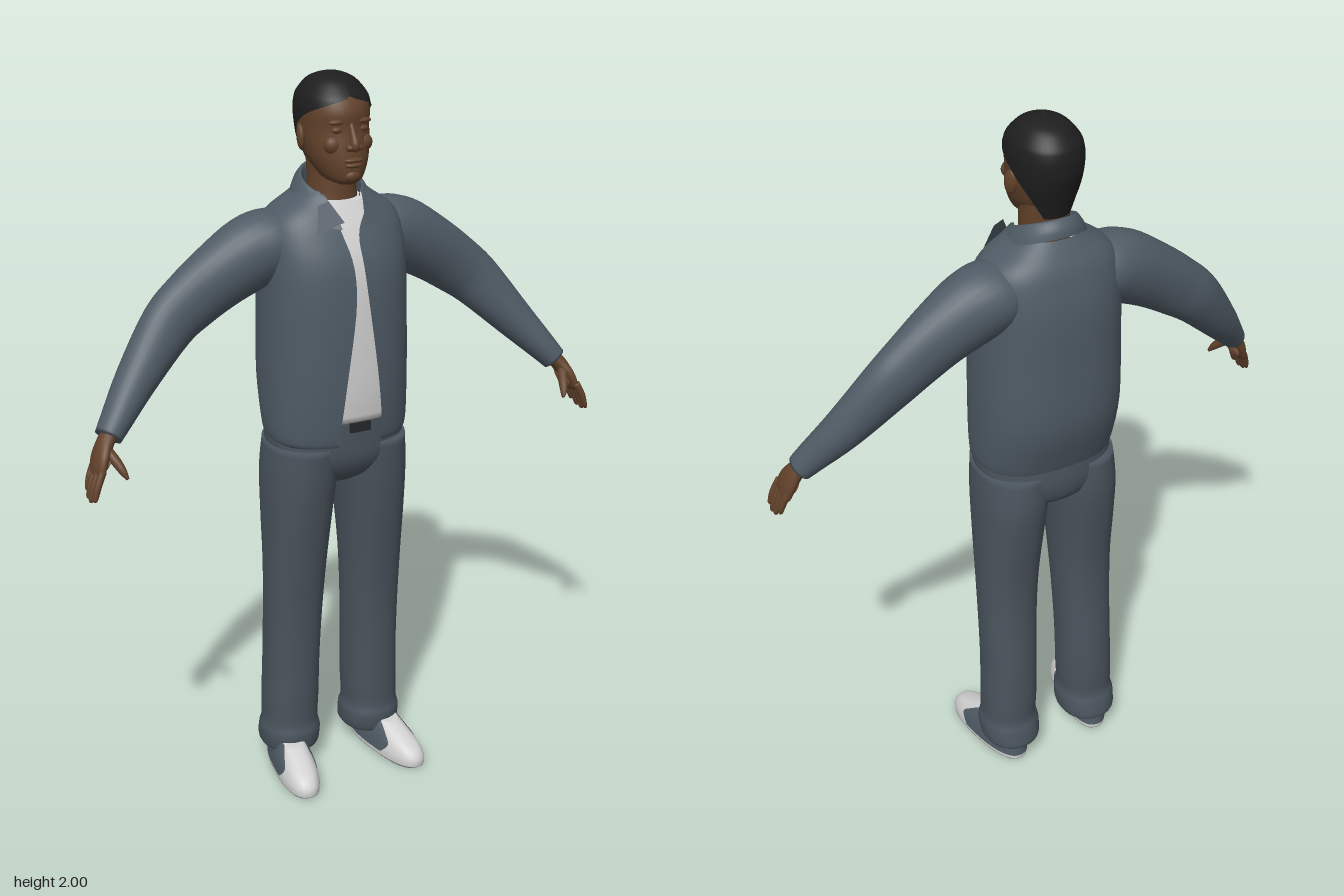
import * as THREE from 'three';

const mat = (name, color, side = THREE.FrontSide) => {
  const m = new THREE.MeshStandardMaterial({ color, side });
  m.name = name;
  return m;
};

// Smooth interpolation through rows of numbers
function spline(rows, sub) {
  const out = [];
  for (let i = 0; i < rows.length - 1; i++) {
    const p0 = rows[Math.max(i - 1, 0)], p1 = rows[i], p2 = rows[i + 1], p3 = rows[Math.min(i + 2, rows.length - 1)];
    for (let k = 0; k < sub; k++) {
      const t = k / sub;
      out.push(p1.map((v, c) => {
        const cubic = 3 * (v - p2[c]) + p3[c] - p0[c];
        const square = 2 * p0[c] - 5 * v + 4 * p2[c] - p3[c];
        return v + 0.5 * t * (p2[c] - p0[c] + t * (square + t * cubic));
      }));
    }
  }
  out.push(rows[rows.length - 1]);
  return out;
}

// Skin over oval sections [x, y, z, a, b, gapLeft, gapRight]; gaps (degrees) leave the front open
function sweep(name, material, rows, { power = 2, seg = 28, sub = 4, axis = null, shear = 0 } = {}) {
  const open = rows[0].length > 5, path = spline(rows, sub);
  const cols = open ? seg + 1 : seg, pos = [], idx = [];
  const at = (i) => new THREE.Vector3(...path[Math.min(Math.max(i, 0), path.length - 1)].slice(0, 3));
  const bend = (v) => Math.sign(v) * Math.pow(Math.abs(v), 2 / power);
  path.forEach(([, , , a, b, g1 = 0, g2 = 0], i) => {
    const t = axis || at(i + 1).sub(at(i - 1)).normalize();
    const u = new THREE.Vector3(0, 0, 1).cross(t).normalize(), v = t.clone().cross(u), c = at(i);
    for (let j = 0; j < cols; j++) {
      const from = 90 + Math.max(g1, 0), to = 450 - Math.max(g2, 0);
      const th = THREE.MathUtils.degToRad(from + (to - from) * j / seg);
      const p = c.clone().addScaledVector(u, a * bend(Math.cos(th))).addScaledVector(v, b * bend(Math.sin(th)));
      pos.push(p.x, p.y - shear * p.z, p.z);
    }
  });
  for (let i = 0; i < path.length - 1; i++) {
    for (let j = 0; j < seg; j++) {
      const k = (j + 1) % cols, A = i * cols + j, B = i * cols + k;
      idx.push(A, B, A + cols, B, B + cols, A + cols);
    }
  }
  if (!open) {
    const n = pos.length / 3, last = (path.length - 1) * cols;
    pos.push(...at(0).toArray(), ...at(path.length).toArray());
    for (let j = 0; j < seg; j++) {
      const k = (j + 1) % seg;
      idx.push(n, k, j, n + 1, last + j, last + k);
    }
  }
  const g = new THREE.BufferGeometry();
  g.setAttribute('position', new THREE.Float32BufferAttribute(pos, 3));
  g.setIndex(idx);
  g.computeVertexNormals();
  const mesh = new THREE.Mesh(g, material);
  mesh.name = name;
  return mesh;
}

// Upright version: rows [centreX, y, halfWidth, zFront, zBack, ...gaps], bottom to top
const UP = new THREE.Vector3(0, 1, 0);
const upright = (name, material, rows, opts = {}) => sweep(name, material,
  rows.map(([x, y, rx, f, b, ...gaps]) => [x, y, (f + b) / 2, rx, (f - b) / 2, ...gaps]), { axis: UP, ...opts });

function blob(name, material, p, s) {
  const m = new THREE.Mesh(new THREE.SphereGeometry(1, 16, 12), material);
  m.name = name;
  m.position.set(...p);
  m.scale.set(...s);
  return m;
}

export function createModel() {
  const root = new THREE.Group();
  root.name = 'standingMan';
  const cloth = mat('slate jacket', 0x4f5b65, THREE.DoubleSide);
  const denim = mat('slate trousers', 0x4a545d);
  const skin = mat('brown skin', 0x62422b);
  const palmSkin = mat('light palm skin', 0x94664c);
  const hair = mat('black hair', 0x1e1e1f, THREE.DoubleSide);
  const white = mat('white', 0xd2d2d2);
  const soleGrey = mat('sole grey', 0x777a7d);
  const dark = mat('dark metal', 0x24272a);
  const add = (...m) => root.add(...m);

  // Open jacket over a shirt
  const torso = [
    [0, 1.03, 0.187, 0.135, -0.135, 19, 13], [0, 1.06, 0.199, 0.142, -0.147, 18, 12],
    [0, 1.2, 0.203, 0.152, -0.187, 13, 8], [0, 1.4, 0.2, 0.15, -0.187, 6, 2],
    [0, 1.52, 0.198, 0.138, -0.182, 3, 2], [0, 1.6, 0.193, 0.108, -0.166, 3, 6],
    [0, 1.645, 0.17, 0.085, -0.15, 11, 11], [0, 1.68, 0.12, 0.066, -0.128, 28, 28],
    [0, 1.705, 0.085, 0.055, -0.11, 42, 42]];
  add(upright('jacketBody', cloth, torso, { power: 2.4, seg: 48 }));
  const shirtRows = torso.slice(2, 8).map(([x, y, rx, f, b]) => [x, y, rx - 0.012, f - 0.009, b + 0.012]);
  add(upright('shirt', white, [[0, 1.095, 0.185, 0.135, -0.14], ...shirtRows], { power: 2.4, seg: 40 }));

  // Folded collar with two pointed flaps
  add(upright('collar', cloth, [
    [0, 1.665, 0.112, 0.118, -0.128, 17, 17], [0, 1.69, 0.099, 0.098, -0.122, 24, 24],
    [0, 1.715, 0.083, 0.072, -0.104, 38, 38], [0, 1.71, 0.076, 0.06, -0.096, 46, 46],
    [0, 1.67, 0.076, 0.055, -0.09, 46, 46]], { shear: 0.42, seg: 36 }));
  for (const s of [1, -1]) {
    const g = new THREE.BufferGeometry();
    const corners = [0.03, 1.638, 0.117, 0.104, 1.612, 0.109, 0.088, 1.68, 0.083, 0.06, 1.69, 0.086];
    const placed = corners.map((v, i) => (i % 3 === 0 ? v * s : v));
    g.setAttribute('position', new THREE.Float32BufferAttribute(placed, 3));
    g.setIndex(s > 0 ? [0, 1, 2, 0, 2, 3] : [0, 2, 1, 0, 3, 2]);
    g.computeVertexNormals();
    const flap = new THREE.Mesh(g, cloth);
    flap.name = 'collarFlap';
    add(flap);
  }

  // Trouser seat and belt buckle
  add(upright('trouserSeat', denim, [
    [0, 0.9, 0.06, 0.06, -0.09], [0, 0.93, 0.13, 0.1, -0.128], [0, 0.98, 0.185, 0.126, -0.142],
    [0, 1.04, 0.195, 0.13, -0.14], [0, 1.1, 0.184, 0.13, -0.135]], { power: 2.3, seg: 36 }));
  const buckle = new THREE.Mesh(new THREE.BoxGeometry(0.06, 0.026, 0.012), dark);
  buckle.name = 'beltBuckle';
  buckle.position.set(0.01, 1.08, 0.132);
  add(buckle);

  for (const s of [1, -1]) {
    const flip = (rows) => rows.map(([x, ...r]) => [x * s, ...r]);

    // Trouser leg with a bunched hem
    add(upright('trouserLeg', denim, flip([
      [0.13, 0.058, 0.068, 0.036, -0.125], [0.13, 0.07, 0.083, 0.05, -0.136], [0.13, 0.115, 0.086, 0.056, -0.128],
      [0.13, 0.15, 0.079, 0.049, -0.118], [0.128, 0.22, 0.08, 0.051, -0.12], [0.125, 0.35, 0.079, 0.055, -0.117],
      [0.122, 0.5, 0.082, 0.062, -0.108], [0.118, 0.65, 0.086, 0.079, -0.11], [0.113, 0.8, 0.092, 0.102, -0.13],
      [0.107, 0.92, 0.097, 0.118, -0.144], [0.1, 1.02, 0.096, 0.126, -0.138]]), { power: 2.2 }));

    // Shoe: white upper, slate heel quarter, grey sole
    const shoe = new THREE.Group();
    shoe.name = 'shoe';
    shoe.position.set(0.148 * s, 0, 0);
    shoe.rotation.y = 0.15 * s;
    shoe.add(
      upright('sole', soleGrey, [[0, 0, 0.05, 0.19, -0.112], [0, 0.008, 0.055, 0.198, -0.118]], { power: 2.5, sub: 1 }),
      upright('shoeUpper', white, [
        [0, 0.006, 0.056, 0.199, -0.119], [0, 0.028, 0.056, 0.198, -0.119], [0, 0.052, 0.051, 0.178, -0.117],
        [0, 0.075, 0.045, 0.13, -0.113], [0, 0.1, 0.038, 0.07, -0.108]], { power: 2.4 }),
      upright('heelQuarter', cloth, [
        [0, 0.02, 0.058, 0.2, -0.121, 78, 78], [0, 0.052, 0.053, 0.18, -0.119, 62, 62],
        [0, 0.075, 0.047, 0.132, -0.115, 55, 55], [0, 0.1, 0.04, 0.072, -0.11, 45, 45]], { power: 2.4 }));
    add(shoe);

    // Sleeve
    add(sweep('sleeve', cloth, flip([
      [0.08, 1.585, -0.045, 0.05, 0.07], [0.15, 1.57, -0.045, 0.087, 0.098], [0.22, 1.545, -0.045, 0.098, 0.092],
      [0.31, 1.495, -0.045, 0.09, 0.076], [0.39, 1.44, -0.045, 0.083, 0.063], [0.46, 1.383, -0.038, 0.075, 0.058],
      [0.565, 1.268, 0.002, 0.056, 0.053], [0.64, 1.183, 0.045, 0.041, 0.044], [0.67, 1.148, 0.062, 0.035, 0.039]])));

    // Hand: palm, four fingers and a thumb
    const hand = new THREE.Group();
    hand.name = 'hand';
    hand.add(sweep('palm', skin, flip([
      [0.655, 1.165, 0.056, 0.021, 0.026], [0.68, 1.138, 0.068, 0.021, 0.03], [0.699, 1.105, 0.08, 0.019, 0.041],
      [0.712, 1.072, 0.09, 0.014, 0.042], [0.716, 1.062, 0.092, 0.008, 0.036]]), { seg: 16 }));
    const inner = blob('palmInside', palmSkin, [0.687 * s, 1.096, 0.082], [0.008, 0.034, 0.032]);
    inner.rotation.z = 0.42 * s;
    hand.add(inner);
    for (let i = 0; i < 4; i++) {
      const z = 0.058 + i * 0.022, len = [0.8, 0.96, 1, 0.9][i];
      hand.add(sweep('finger', skin, flip([
        [0.709, 1.085, z, 0.01, 0.011],
        [0.709 + 0.019 * len, 1.085 - 0.04 * len, z + 0.006, 0.01, 0.0105],
        [0.709 + 0.03 * len, 1.085 - 0.075 * len, z + 0.01, 0.007, 0.008],
        [0.709 + 0.032 * len, 1.085 - 0.084 * len, z + 0.011, 0.003, 0.004]]), { seg: 10 }));
    }
    hand.add(sweep('thumb', skin, flip([
      [0.685, 1.125, 0.085, 0.014, 0.016], [0.67, 1.1, 0.113, 0.013, 0.014], [0.66, 1.078, 0.134, 0.01, 0.011],
      [0.652, 1.06, 0.146, 0.004, 0.005]]), { seg: 12 }));
    add(hand);

    // Paired features of the face
    const ear = blob('ear', skin, [0.09 * s, 1.84, -0.012], [0.011, 0.034, 0.02]);
    ear.rotation.set(-0.15, 0.3 * s, 0);
    add(ear,
      blob('eyelid', skin, [0.035 * s, 1.868, 0.086], [0.016, 0.009, 0.009]),
      blob('browRidge', skin, [0.034 * s, 1.888, 0.086], [0.026, 0.008, 0.011]),
      blob('cheek', skin, [0.042 * s, 1.83, 0.076], [0.026, 0.024, 0.02]),
      blob('nostril', skin, [0.013 * s, 1.826, 0.112], [0.011, 0.009, 0.012]));
  }

  // Neck and head
  add(upright('neck', skin, [
    [0, 1.64, 0.075, 0.055, -0.09], [0, 1.69, 0.066, 0.05, -0.085], [0, 1.74, 0.064, 0.048, -0.085],
    [0, 1.8, 0.066, 0.05, -0.09]]));
  add(upright('head', skin, [
    [0, 1.728, 0.026, 0.092, 0.02], [0, 1.742, 0.05, 0.106, -0.03], [0, 1.78, 0.072, 0.11, -0.08],
    [0, 1.82, 0.083, 0.106, -0.105], [0, 1.868, 0.088, 0.098, -0.122], [0, 1.91, 0.09, 0.099, -0.126],
    [0, 1.95, 0.08, 0.08, -0.114], [0, 1.978, 0.056, 0.048, -0.085], [0, 1.992, 0.02, 0.012, -0.04]],
  { power: 2.1, seg: 36 }));
  add(sweep('nose', skin, [
    [0, 1.885, 0.09, 0.007, 0.008], [0, 1.855, 0.105, 0.009, 0.011], [0, 1.832, 0.116, 0.013, 0.014],
    [0, 1.819, 0.113, 0.008, 0.009]], { seg: 14 }));
  add(blob('upperLip', skin, [0, 1.793, 0.107], [0.027, 0.007, 0.012]),
    blob('lowerLip', skin, [0, 1.78, 0.106], [0.023, 0.007, 0.012]),
    blob('chin', skin, [0, 1.752, 0.096], [0.024, 0.018, 0.018]));

  // Close-cropped hair with a forehead hairline
  add(upright('hair', hair, [
    [0, 1.757, 0.064, 0.05, -0.094, 146, 146], [0, 1.79, 0.078, 0.1, -0.104, 136, 136],
    [0, 1.83, 0.09, 0.108, -0.117, 122, 122], [0, 1.87, 0.093, 0.104, -0.129, 98, 98],
    [0, 1.905, 0.095, 0.104, -0.132, 72, 72], [0, 1.93, 0.092, 0.097, -0.129, 36, 36],
    [0, 1.95, 0.085, 0.086, -0.121, 0, 0], [0, 1.98, 0.06, 0.054, -0.092, 0, 0],
    [0, 1.995, 0.03, 0.018, -0.052, 0, 0], [0, 2, 0.001, -0.016, -0.018, 0, 0]], { power: 2.1, seg: 40 }));
  return root;
}
